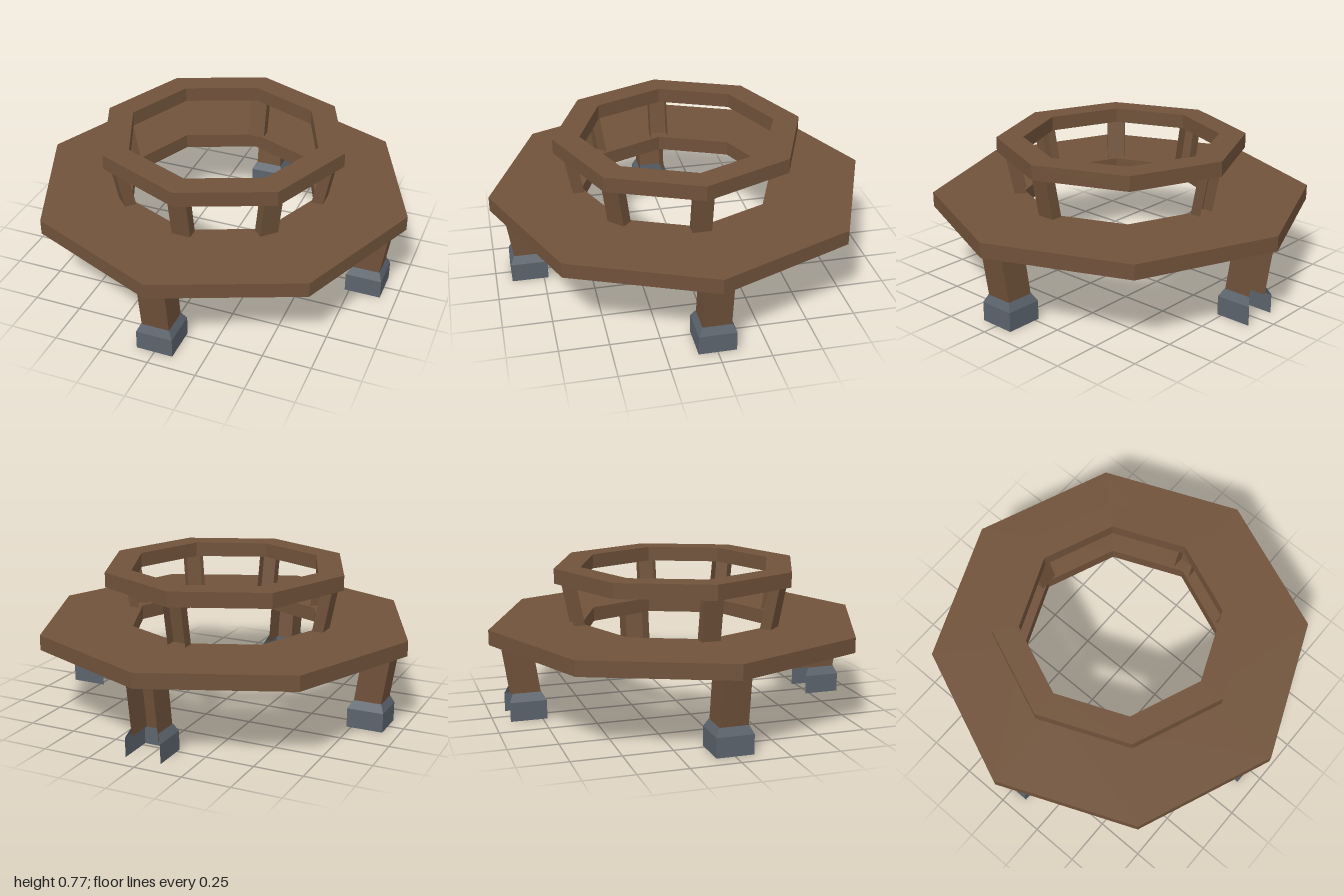
import * as THREE from 'three';

const wood = new THREE.MeshStandardMaterial({ color: 0x70523a, side: THREE.DoubleSide });
wood.name = 'brown wood';
const metal = new THREE.MeshStandardMaterial({ color: 0x5b636c, side: THREE.DoubleSide });
metal.name = 'grey metal';

function mesh(name, geometry, material) {
  const m = new THREE.Mesh(geometry, material);
  m.name = name;
  return m;
}

// Octagonal ring: outer wall, top and inner wall, open underneath
function ring(name, outer, inner, y0, y1) {
  const profile = [[outer, y0], [outer, y1], [inner, y1], [inner, y0]].map(p => new THREE.Vector2(...p));
  const geometry = new THREE.LatheGeometry(profile, 8).toNonIndexed();
  geometry.computeVertexNormals();
  return mesh(name, geometry, wood);
}

// Three-sided strut lofted through sections [y, centreZ, halfWidth, halfDepth]; its -z side is open
function strut(name, sections, material) {
  const loops = sections.map(([y, z, w, d]) =>
    [[-w, -d], [-w, d], [w, d], [w, -d]].map(([px, pz]) => [px, y, z + pz]));
  const pos = [];
  for (let s = 0; s < loops.length - 1; s++) {
    for (let i = 0; i < 3; i++) {
      const a = loops[s][i], b = loops[s][i + 1], c = loops[s + 1][i + 1], d = loops[s + 1][i];
      pos.push(...a, ...b, ...c, ...a, ...c, ...d);
    }
  }
  const geometry = new THREE.BufferGeometry();
  geometry.setAttribute('position', new THREE.Float32BufferAttribute(pos, 3));
  geometry.computeVertexNormals();
  return mesh(name, geometry, material);
}

// Leaning leg with its metal foot; dir = -1 puts it at the back, open side outward
function leg(name, angle, dir = 1) {
  const g = new THREE.Group();
  g.name = name;
  g.add(strut('legPost', [[0.1, dir * 0.819, 0.072, 0.072], [0.46, dir * 0.873, 0.072, 0.072]], wood));
  const z = dir * 0.822;
  g.add(strut('foot', [[0, z, 0.095, 0.095], [0.1, z, 0.095, 0.095], [0.142, dir * 0.825, 0.074, 0.074]], metal));
  g.rotation.y = angle;
  return g;
}

// Leaning post between the two rings
function post(name, angle, dir = 1) {
  const p = strut(name, [[0.46, dir * 0.536, 0.049, 0.03], [0.7, dir * 0.583, 0.049, 0.03]], wood);
  p.rotation.y = angle;
  return p;
}

export function createModel() {
  const model = new THREE.Group();
  model.name = 'octagonalBench';
  model.add(ring('seatRing', 1, 0.515, 0.39, 0.468));
  model.add(ring('backrestRing', 0.655, 0.515, 0.688, 0.766));

  const q = Math.PI / 2;
  model.add(leg('frontLeg', 0), leg('leftLeg', q), leg('rightLeg', -q), leg('backLeg', 0, -1));

  // Posts on every corner but the two rear diagonals
  for (const k of [-2, -1, 0, 1, 2]) model.add(post('backrestPost', k * q / 2));
  model.add(post('rearBackrestPost', 0, -1));
  return model;
}
